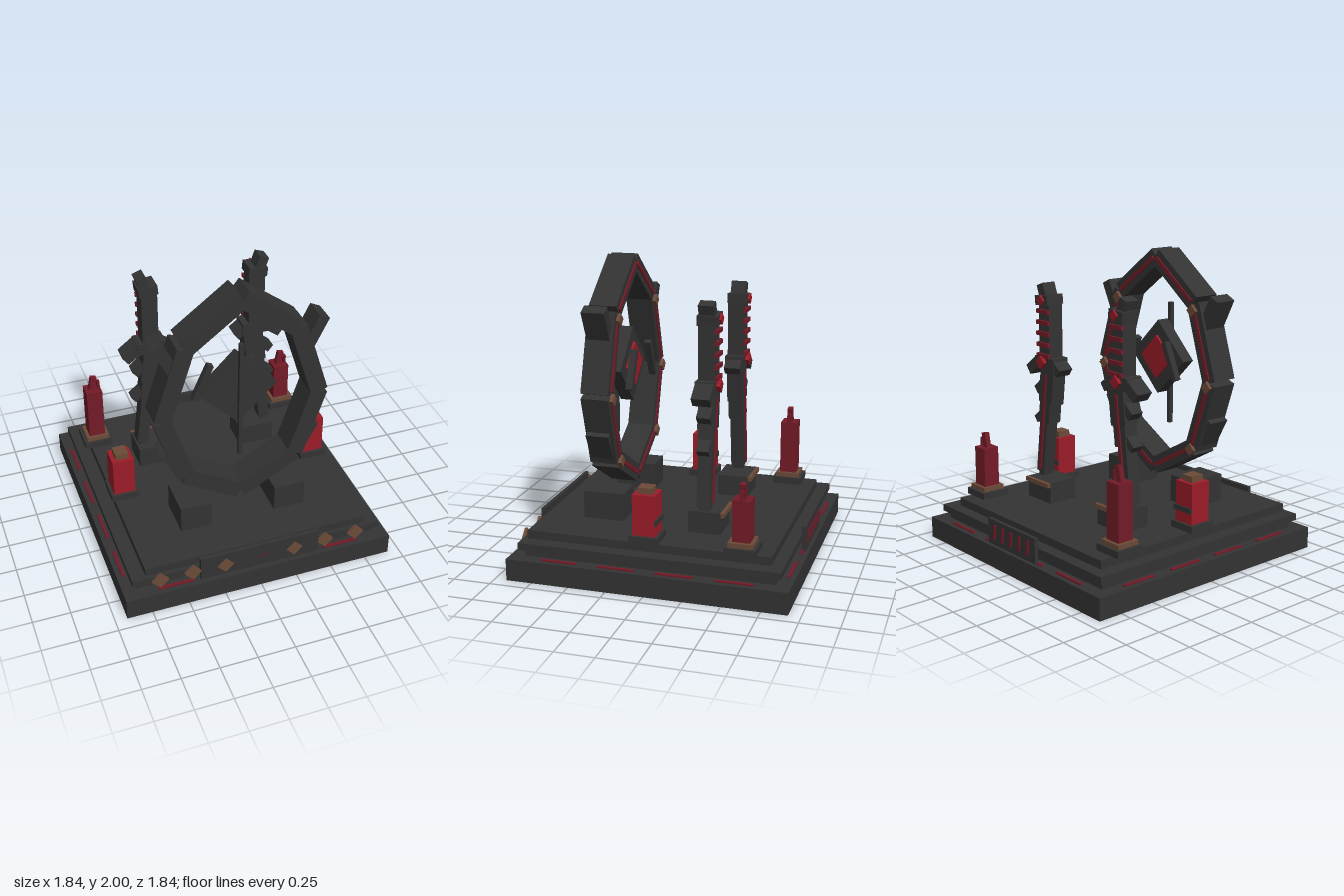
import * as THREE from 'three';

function mat(name, color) {
  const m = new THREE.MeshStandardMaterial({ color });
  m.name = name;
  return m;
}

export function createModel() {
  const stone = mat('charcoal stone', 0x333333);
  const red = mat('bright red', 0x9b1c28);
  const darkRed = mat('dark red', 0x721b27);
  const bronze = mat('bronze', 0x6b4a38);

  const model = new THREE.Group();
  model.name = 'portalShrine';
  const group = (name) => {
    const g = new THREE.Group();
    g.name = name;
    model.add(g);
    return g;
  };
  // Box given by size and centre, rolled about z
  function box(parent, name, m, [w, h, d], [x, y, z], rz = 0) {
    const mesh = new THREE.Mesh(new THREE.BoxGeometry(w, h, d), m);
    mesh.name = name;
    mesh.position.set(x, y, z);
    mesh.rotation.z = rz;
    parent.add(mesh);
    return mesh;
  }
  // Square plate standing on a corner; r is the half diagonal
  const diamond = (parent, name, m, r, d, pos) =>
    box(parent, name, m, [r * Math.SQRT2, r * Math.SQRT2, d], pos, Math.PI / 4);

  // Stepped platform
  const base = group('platform');
  box(base, 'slab', stone, [1.84, 0.145, 1.84], [0, 0.0725, 0]);
  box(base, 'lowerStep', stone, [1.65, 0.055, 1.65], [0, 0.17, 0]);
  box(base, 'middleStep', stone, [1.72, 0.045, 1.72], [0, 0.2175, 0]);
  box(base, 'topStep', stone, [1.53, 0.055, 1.61], [0, 0.2675, 0.025]);
  // Red inlays lying along the slab edges
  for (const p of [-0.575, -0.19, 0.19, 0.575]) {
    for (const s of [-1, 1]) {
      box(base, 'edgeInlay', darkRed, [0.24, 0.012, 0.02], [p, 0.149, s * 0.875]);
      box(base, 'sideInlay', darkRed, [0.02, 0.012, 0.24], [s * 0.875, 0.149, p]);
    }
  }
  // Front panel with bronze diamonds
  box(base, 'frontPanel', stone, [0.82, 0.17, 0.025], [0, 0.23, 0.8725]);
  for (const s of [-1, 1]) {
    diamond(base, 'panelDiamond', bronze, 0.056, 0.008, [s * 0.24, 0.22, 0.888]);
    diamond(base, 'outerDiamond', bronze, 0.056, 0.02, [s * 0.46, 0.22, 0.877]);
    diamond(base, 'outerDiamond', bronze, 0.056, 0.02, [s * 0.68, 0.22, 0.877]);
  }
  box(base, 'panelMark', darkRed, [0.02, 0.014, 0.006], [0.035, 0.232, 0.887], 0.7);
  box(base, 'panelMark', darkRed, [0.016, 0.01, 0.006], [-0.005, 0.225, 0.887], -0.5);
  // Back panel with red bars
  box(base, 'backPanel', stone, [0.51, 0.17, 0.025], [0, 0.23, -0.882]);
  for (let i = -2; i <= 2; i++)
    box(base, 'backBar', darkRed, [0.022, 0.095, 0.01], [i * 0.09, 0.235, -0.898], 0.12);

  // Eight-sided ring: straight bars between corner points
  const ring = group('ring');
  const pts = [[0, 1.953], [0.368, 1.675], [0.528, 1.168], [0.375, 0.7], [0, 0.487]];
  for (const s of [-1, 1]) {
    for (let i = 0; i < 4; i++) {
      const [ax, ay] = pts[i], [bx, by] = pts[i + 1];
      const len = Math.hypot(bx - ax, by - ay);
      const rz = s * Math.atan2(bx - ax, ay - by);
      const x = s * (ax + bx) / 2, y = (ay + by) / 2;
      box(ring, 'ringBar', stone, [0.115, len, 0.185], [x, y, 0.4225], rz);
      box(ring, 'ringInlay', darkRed, [0.028, len * 0.92, 0.01], [x, y, 0.326], rz);
    }
    for (const [x, y] of [[0.375, 1.63], [0.52, 1.14], [0.378, 0.69]])
      diamond(ring, 'ringStud', bronze, 0.042, 0.025, [s * x, y, 0.319]);
    box(ring, 'upperSpike', stone, [0.075, 0.225, 0.155], [s * 0.49, 1.62, 0.4275], -s * 0.46);
    box(ring, 'lowerSpike', stone, [0.06, 0.2, 0.155], [s * 0.462, 0.82, 0.4275], -s * 0.5);
    box(ring, 'ringFoot', stone, [0.215, 0.185, 0.275], [s * 0.328, 0.3875, 0.4275]);
  }

  // Hanging diamond core with a spear in front and fins behind
  const core = group('core');
  diamond(core, 'coreDiamond', stone, 0.255, 0.09, [0, 1.26, 0.405]);
  diamond(core, 'coreBackPlate', red, 0.15, 0.02, [0, 1.26, 0.352]);
  box(core, 'spear', stone, [0.028, 0.85, 0.03], [0, 1.2, 0.48]);
  for (const s of [-1, 1])
    box(core, 'coreFin', stone, [0.04, 0.27, 0.045], [s * 0.196, 1.265, 0.302], s * 0.42);

  // Pair of sword-like pylons
  for (const s of [-1, 1]) {
    const g = group(s > 0 ? 'leftPylon' : 'rightPylon');
    const z = -0.27, lean = s * 0.12;
    box(g, 'pylonFoot', stone, [0.245, 0.145, 0.215], [s * 0.375, 0.3675, -0.278]);
    box(g, 'footTrim', bronze, [0.245, 0.03, 0.025], [s * 0.375, 0.425, -0.397]);
    box(g, 'upperBlade', stone, [0.11, 0.45, 0.11], [s * 0.375, 1.45, z]);
    box(g, 'collar', stone, [0.13, 0.065, 0.135], [s * 0.38, 1.675, -0.2775], -s * 0.1);
    box(g, 'head', stone, [0.068, 0.1, 0.1], [s * 0.408, 1.73, z], -s * 0.35);
    box(g, 'guard', stone, [0.2, 0.085, 0.125], [s * 0.375, 1.245, z]);
    box(g, 'outerGuardArm', stone, [0.15, 0.07, 0.12], [s * 0.495, 1.22, z], -s * 0.65);
    box(g, 'innerGuardArm', stone, [0.1, 0.06, 0.11], [s * 0.272, 1.225, z], s * 0.65);
    // Tapering lower blade
    box(g, 'lowerBladeTop', stone, [0.14, 0.25, 0.105], [s * 0.368, 1.09, z], lean);
    box(g, 'lowerBladeMiddle', stone, [0.11, 0.2, 0.1], [s * 0.392, 0.93, z], lean);
    box(g, 'lowerBladeTip', stone, [0.078, 0.43, 0.09], [s * 0.43, 0.68, z], lean);
    box(g, 'tipRod', stone, [0.05, 0.1, 0.075], [s * 0.452, 0.47, z], lean);
    box(g, 'upperThorn', stone, [0.09, 0.06, 0.09], [s * 0.455, 1.07, z], -s * 0.7);
    box(g, 'lowerThorn', stone, [0.09, 0.05, 0.08], [s * 0.47, 0.86, z], -s * 0.7);
    box(g, 'bladeInlay', darkRed, [0.022, 0.68, 0.012], [s * 0.405, 0.83, -0.325], lean);
    // Red rungs and gems on the back
    for (let i = 0; i < 5; i++)
      box(g, 'rung', darkRed, [0.125, 0.028, 0.022], [s * 0.375, 1.6 - i * 0.075, -0.334]);
    diamond(g, 'upperGem', red, 0.036, 0.02, [s * 0.375, 1.675, -0.349]);
    diamond(g, 'guardGem', red, 0.045, 0.025, [s * 0.385, 1.255, -0.345]);
  }

  // Side pedestals: bright ones in the middle, broken dark ones at the back
  for (const s of [-1, 1]) {
    const p = group(s > 0 ? 'leftPedestal' : 'rightPedestal');
    const x = s * 0.69, z = 0.041;
    box(p, 'pedestalBase', stone, [0.19, 0.045, 0.19], [x, 0.3175, z]);
    box(p, 'pedestalBody', red, [0.148, 0.27, 0.15], [x, 0.475, z]);
    box(p, 'pedestalCap', bronze, [0.09, 0.04, 0.095], [x, 0.63, z]);
    box(p, 'pedestalBand', stone, [0.16, 0.035, 0.012], [x + 0.005, 0.433, -0.038]);

    const b = group(s > 0 ? 'leftBrokenPost' : 'rightBrokenPost');
    const bx = s * 0.71, bz = -0.587, top = s > 0 ? 0.64 : 0.74;
    box(b, 'postBase', stone, [0.2, 0.045, 0.2], [bx, 0.3175, bz]);
    box(b, 'postTrim', bronze, [0.16, 0.03, 0.16], [bx, 0.355, bz]);
    box(b, 'postBody', darkRed, [0.112, top - 0.37, 0.115], [bx, (top + 0.37) / 2, bz]);
    box(b, 'brokenShard', darkRed, [0.042, 0.11, 0.035], [bx, top + 0.045, bz], -0.2);
    box(b, 'smallShard', darkRed, [0.018, 0.12, 0.03], [bx + 0.042, top, bz]);
  }
  return model;
}
